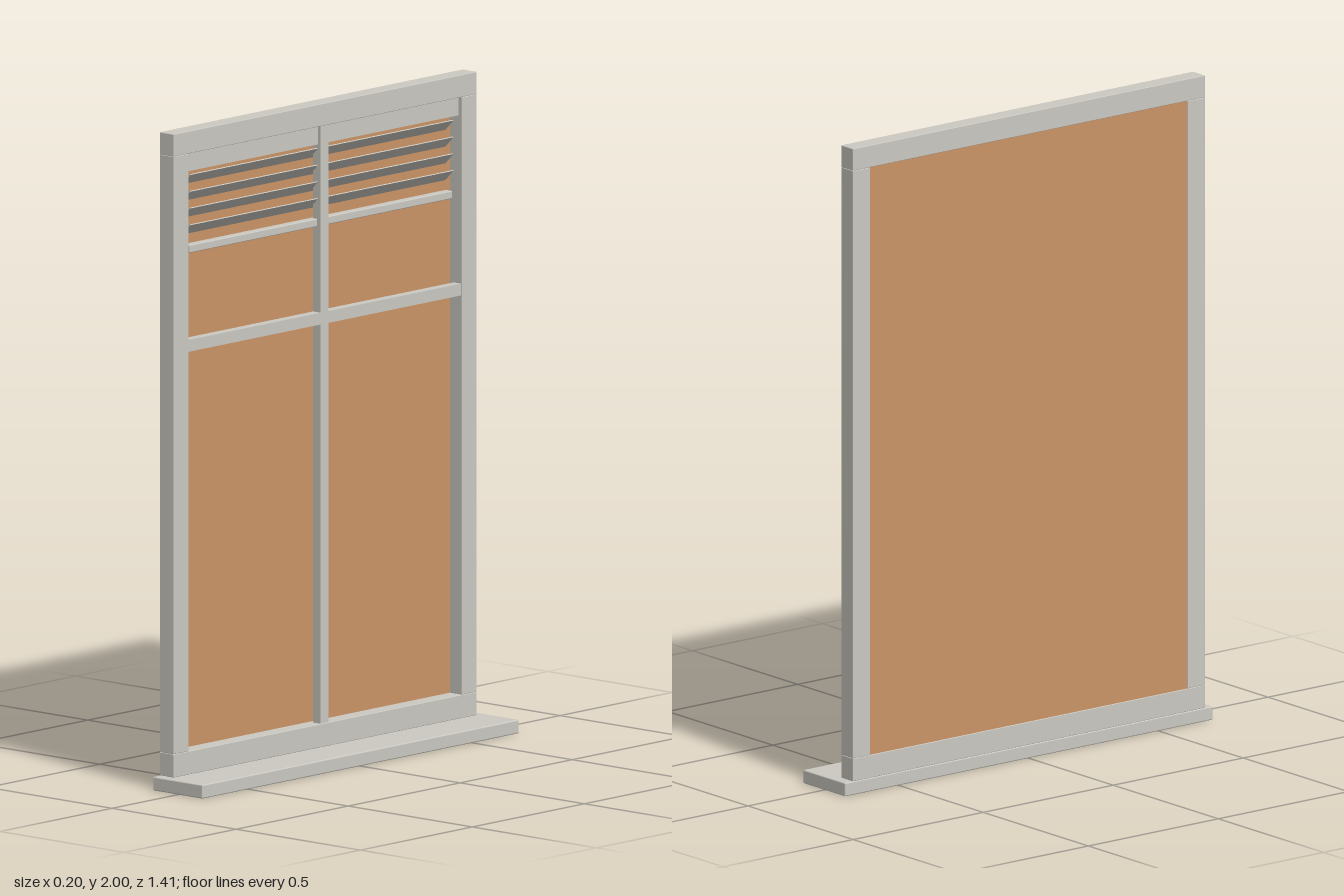
import * as THREE from 'three';
import { RoundedBoxGeometry } from 'three/addons/geometries/RoundedBoxGeometry.js';

export function createModel() {
  const group = new THREE.Group();
  group.name = 'window';
  const paint = new THREE.MeshStandardMaterial({ color: 0xcbc9c2 });
  paint.name = 'warm grey paint';
  const pane = new THREE.MeshStandardMaterial({ color: 0xcb9568 });
  pane.name = 'amber pane';

  // Box given by its limits on each axis, with an optional softened edge
  function bar(name, [x0, x1], [y0, y1], [z0, z1], material = paint, radius = 0) {
    const size = [x1 - x0, y1 - y0, z1 - z0];
    const geometry = radius
      ? new RoundedBoxGeometry(...size, 2, radius)
      : new THREE.BoxGeometry(...size);
    const mesh = new THREE.Mesh(geometry, material);
    mesh.name = name;
    mesh.position.set((x0 + x1) / 2, (y0 + y1) / 2, (z0 + z1) / 2);
    group.add(mesh);
    return mesh;
  }

  // Sill and outer frame
  const depth = [-0.1, -0.043];
  bar('sill', [-0.1, 0.1], [0, 0.042], [-0.707, 0.707], paint, 0.004);
  bar('bottomRail', depth, [0.042, 0.113], [-0.677, 0.677], paint, 0.002);
  bar('topRail', depth, [1.932, 2], [-0.677, 0.677], paint, 0.002);
  bar('leftStile', depth, [0.113, 1.932], [0.61, 0.677], paint, 0.002);
  bar('rightStile', depth, [0.113, 1.932], [-0.677, -0.61], paint, 0.002);

  // Pane at the back of the frame
  bar('pane', [-0.098, -0.092], [0.112, 1.933], [-0.61, 0.61], pane);

  // Glazing bars, the cross bar split around the upright
  const barDepth = [-0.076, -0.046];
  bar('uprightGlazingBar', barDepth, [0.112, 1.933], [-0.018, 0.018]);
  for (const side of [-1, 1]) {
    const z = [side * 0.018, side * 0.61].sort((a, b) => a - b);
    bar('crossGlazingBar', barDepth, [1.328, 1.364], z);
  }

  // Blind: head rail, tilted slats and bottom rail
  bar('blindHeadRail', [-0.092, -0.056], [1.875, 1.932], [-0.608, 0.608]);
  for (let i = 0; i < 4; i++) {
    const y = 1.847 - i * 0.051;
    const slat = bar('blindSlat', [-0.097, -0.051], [y - 0.0015, y + 0.0015], [-0.587, 0.587]);
    slat.rotation.z = Math.PI / 4;
  }
  bar('blindBottomRail', [-0.088, -0.06], [1.624, 1.648], [-0.587, 0.587], paint, 0.003);

  return group;
}
